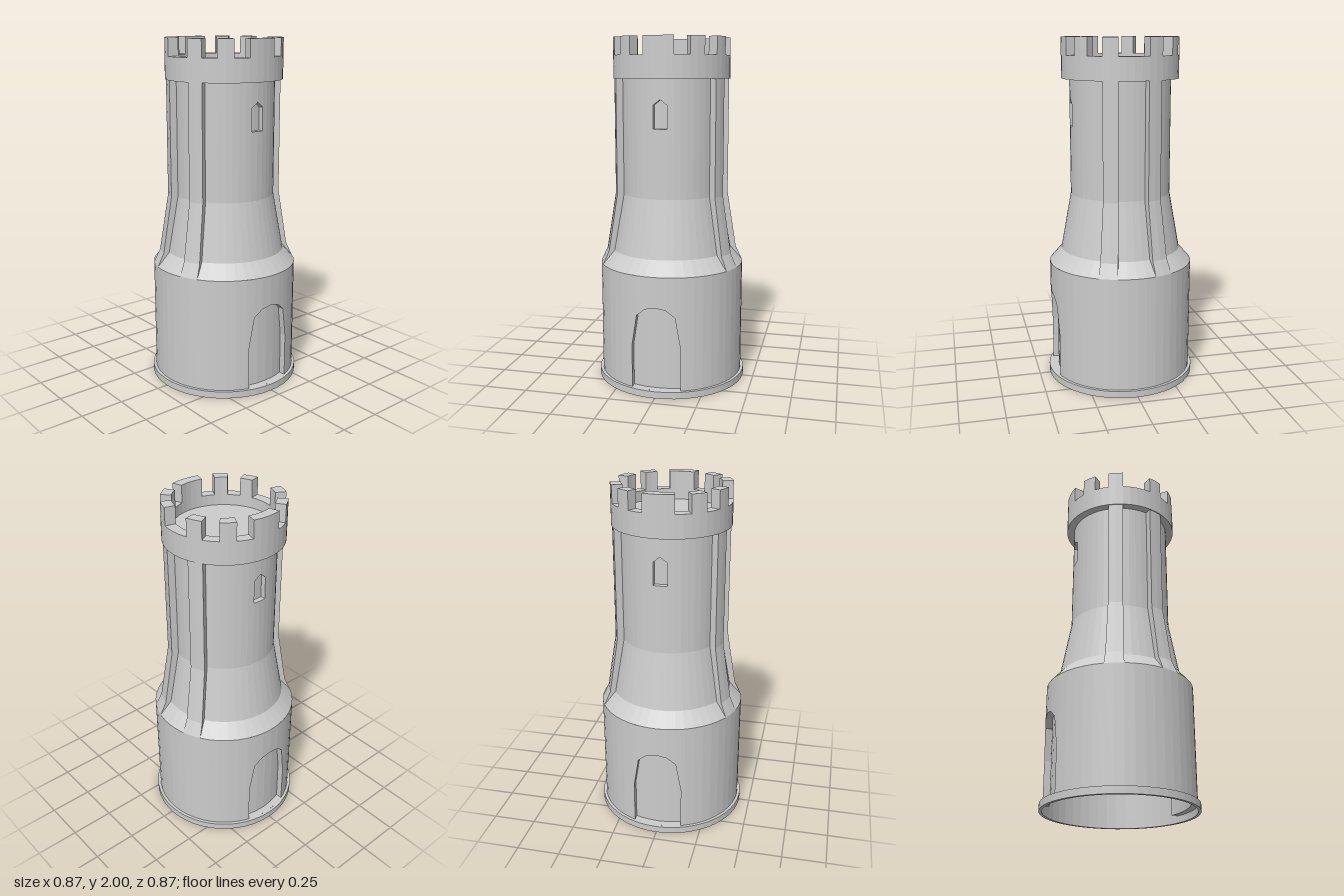
import * as THREE from 'three';
import { mergeGeometries } from 'three/addons/utils/BufferGeometryUtils.js';

const stone = new THREE.MeshStandardMaterial({ color: 0xcccccc, flatShading: true, side: THREE.DoubleSide });
const rad = THREE.MathUtils.degToRad;
const vecs = (pts) => pts.map(([x, y]) => new THREE.Vector2(x, y));

function add(parent, name, geometry) {
  const mesh = new THREE.Mesh(geometry, stone);
  mesh.name = name;
  parent.add(mesh);
  return mesh;
}

// Turned profile between two angles in degrees, measured from the front; 48 sides per full turn
function turned(profile, from = 0, to = 360) {
  const segments = Math.round((to - from) / 7.5);
  return new THREE.LatheGeometry(vecs(profile), segments, rad(from), rad(to - from));
}

// Solid wedge of a turned ring: closed outline swept through an angle, with both ends capped
function wedge(outline, from, to) {
  const sweep = turned([...outline, outline[0]], from, to);
  const caps = [from, to].map((angle) =>
    new THREE.ShapeGeometry(new THREE.Shape(vecs(outline))).rotateY(rad(angle - 90)));
  return mergeGeometries([sweep, ...caps]);
}

// Strip of faces between two polylines of equal length
function ribbon(a, b) {
  const pos = [];
  for (let i = 0; i < a.length - 1; i++) {
    pos.push(...a[i], ...a[i + 1], ...b[i + 1], ...a[i], ...b[i + 1], ...b[i]);
  }
  const g = new THREE.BufferGeometry();
  g.setAttribute('position', new THREE.Float32BufferAttribute(pos, 3));
  g.computeVertexNormals();
  return g;
}

// Curved wall piece at the front with a recessed opening; halfArch runs from the side to the apex
function wallWithRecess(parent, name, { radius, bottom, top, sill, halfAngle, halfArch, depth }) {
  const group = new THREE.Group();
  group.name = name;
  parent.add(group);
  const arch = [
    ...halfArch.map(([x, y]) => [-x, y]),
    ...halfArch.slice(0, -1).reverse(),
  ];
  const edge = radius * Math.sin(rad(halfAngle));
  const side = halfArch[0][0];
  const line = [[-edge, sill], [-side, sill], ...arch, [side, sill], [edge, sill]];
  const place = (pts, d = 0) => pts.map(([x, y]) => [x, y, Math.sqrt(radius * radius - x * x) - d]);
  const level = (pts, y) => pts.map(([x]) => [x, y]);

  add(group, 'wallAbove', ribbon(place(line), place(level(line, top))));
  if (sill > bottom) add(group, 'wallBelow', ribbon(place(level(line, bottom)), place(level(line, sill))));
  add(group, 'recessPanel', ribbon(place(level(arch, sill), depth), place(arch, depth)));
  const rim = line.slice(1, -1);
  add(group, 'recessJamb', ribbon(place(rim, depth), place(rim)));
  add(group, 'recessSill', ribbon(place(level(arch, sill)), place(level(arch, sill), depth)));
  return group;
}

export function createModel() {
  const tower = new THREE.Group();
  tower.name = 'tower';

  // Foot ring, open underneath
  add(tower, 'footRing', turned([[0.42, 0], [0.437, 0], [0.437, 0.04], [0.42, 0.04], [0.42, 0]]));

  // Sloped shoulder and taper
  add(tower, 'shoulder', turned([[0.42, 0.7], [0.35, 0.78]]));
  add(tower, 'taper', turned([[0.35, 0.78], [0.29, 1.11]]));

  // Side walls of the base and shaft, then doors and windows at front and back
  for (const turn of [0, 180]) {
    add(tower, 'baseWall', turned([[0.42, 0.04], [0.42, 0.7]], turn + 22.5, turn + 157.5));
    add(tower, 'shaftWall', turned([[0.29, 1.11], [0.29, 1.77]], turn + 15, turn + 165));

    const door = wallWithRecess(tower, 'doorway', {
      radius: 0.42, bottom: 0.04, top: 0.7, sill: 0.04, halfAngle: 22.5, depth: 0.04,
      halfArch: [[0.14, 0.29], [0.11, 0.47], [0.06, 0.512], [0, 0.525]],
    });
    const window = wallWithRecess(tower, 'window', {
      radius: 0.29, bottom: 1.11, top: 1.77, sill: 1.5, halfAngle: 15, depth: 0.03,
      halfArch: [[0.039, 1.63], [0, 1.66]],
    });
    door.rotation.y = window.rotation.y = rad(turn);
  }

  // Four buttress ribs, a pair on each side
  const ribOutline = [[0.42, 0.7], [0.383, 0.78], [0.33, 1.11], [0.33, 1.77], [0.29, 1.77], [0.29, 1.11], [0.35, 0.78]];
  for (const start of [60, 105, 240, 285]) add(tower, 'buttressRib', wedge(ribOutline, start, start + 15));

  // Parapet with sunken roof floor
  add(tower, 'parapet', turned([[0.29, 1.77], [0.335, 1.77], [0.335, 1.9], [0.275, 1.9], [0.275, 1.84]]));
  add(tower, 'roofFloor', turned([[0.275, 1.84], [0, 1.84]]));

  // Merlons: one wide and four narrow per half turn
  const merlonOutline = [[0.275, 1.9], [0.335, 1.9], [0.335, 2], [0.275, 2]];
  for (const turn of [0, 180]) {
    for (const [from, to] of [[-15, 15], [30, 45], [60, 75], [105, 120], [135, 150]]) {
      add(tower, 'merlon', wedge(merlonOutline, turn + from, turn + to));
    }
  }
  return tower;
}
